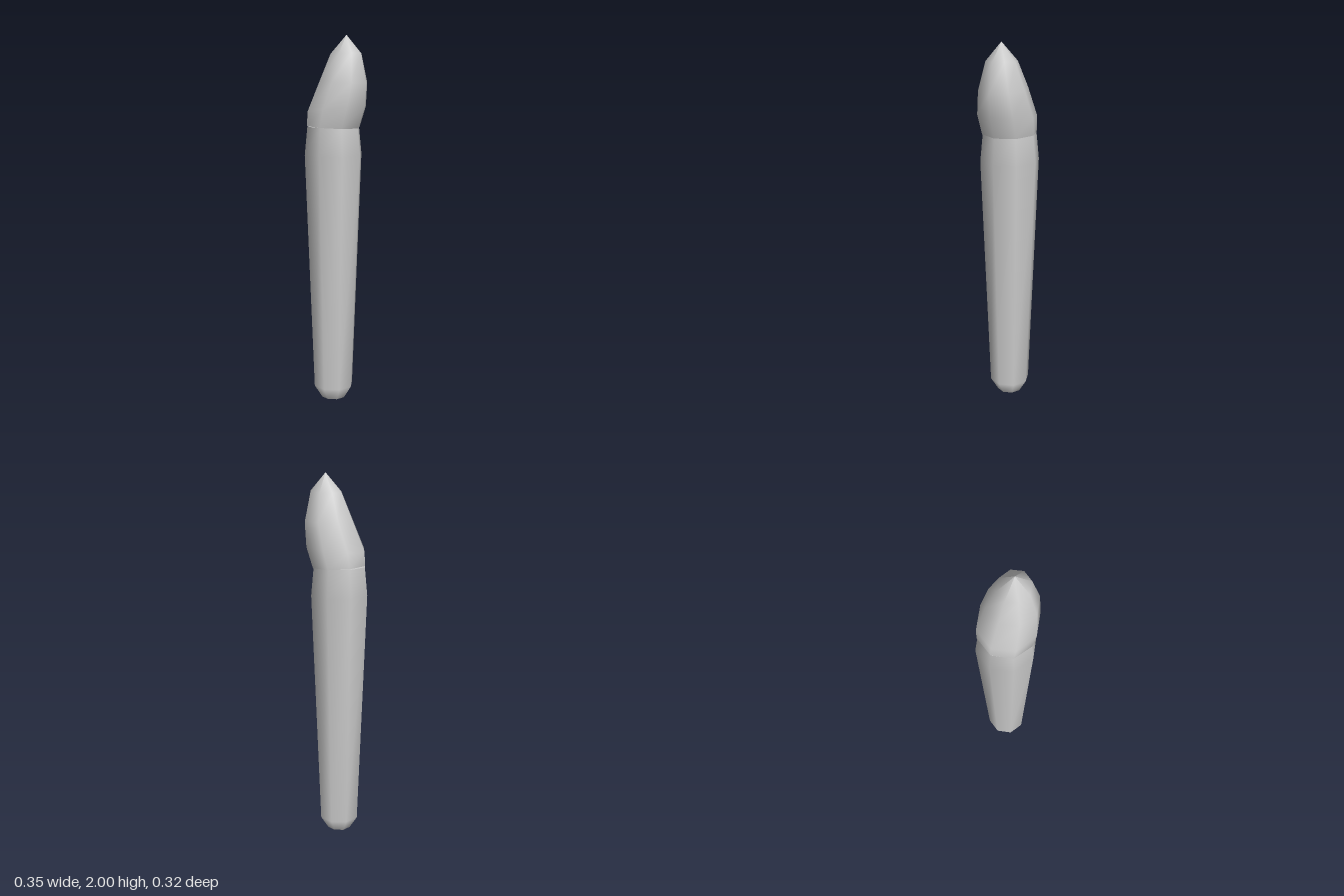
import * as THREE from 'three';

const SIDES = 8;

// Smooth loft through tilted oval rings: [leftX, leftY, rightX, rightY, halfDepth], with flat end caps.
function loft(rings, capTop) {
  const pos = [], idx = [];
  const addRing = ([lx, ly, rx, ry, hz]) => {
    const start = pos.length / 3;
    for (let j = 0; j < SIDES; j++) {
      const a = (j / SIDES) * Math.PI * 2, t = (Math.cos(a) + 1) / 2;
      pos.push(lx + (rx - lx) * t, ly + (ry - ly) * t, Math.sin(a) * hz);
    }
    return start;
  };
  const starts = rings.map(addRing);
  for (let i = 0; i < rings.length - 1; i++) {
    for (let j = 0; j < SIDES; j++) {
      const k = (j + 1) % SIDES, a = starts[i], b = starts[i + 1];
      idx.push(a + j, b + j, a + k, a + k, b + j, b + k);
    }
  }
  // caps get their own vertices so that their rims stay sharp
  const bottom = addRing(rings[0]);
  for (let j = 1; j < SIDES - 1; j++) idx.push(bottom, bottom + j, bottom + j + 1);
  if (capTop) {
    const top = addRing(rings[rings.length - 1]);
    for (let j = 1; j < SIDES - 1; j++) idx.push(top, top + j + 1, top + j);
  }
  const geo = new THREE.BufferGeometry();
  geo.setAttribute('position', new THREE.Float32BufferAttribute(pos, 3));
  geo.setIndex(idx);
  geo.computeVertexNormals();
  return geo;
}

export function createModel() {
  const group = new THREE.Group();
  const grey = new THREE.MeshStandardMaterial({ color: 0xcccccc });
  grey.name = 'light grey';

  const add = (name, geo) => {
    const mesh = new THREE.Mesh(geo, grey);
    mesh.name = name;
    group.add(mesh);
  };

  // tapered shaft with a bevelled foot and a narrowed neck
  const cx = -0.018;
  const round = (y, r) => [cx - r, y, cx + r, y, r];
  add('shaft', loft([
    round(0, 0.067), round(0.07, 0.11), round(1.37, 0.16), round(1.52, 0.145),
  ], true));

  // leaning pointed head
  add('head', loft([
    [-0.165, 1.527, 0.13, 1.513, 0.15],
    [-0.16, 1.6, 0.169, 1.63, 0.158],
    [-0.088, 1.765, 0.176, 1.75, 0.132],
    [-0.03, 1.9, 0.145, 1.905, 0.082],
    [0.06, 2, 0.06, 2, 0],
  ], false));

  return group;
}
